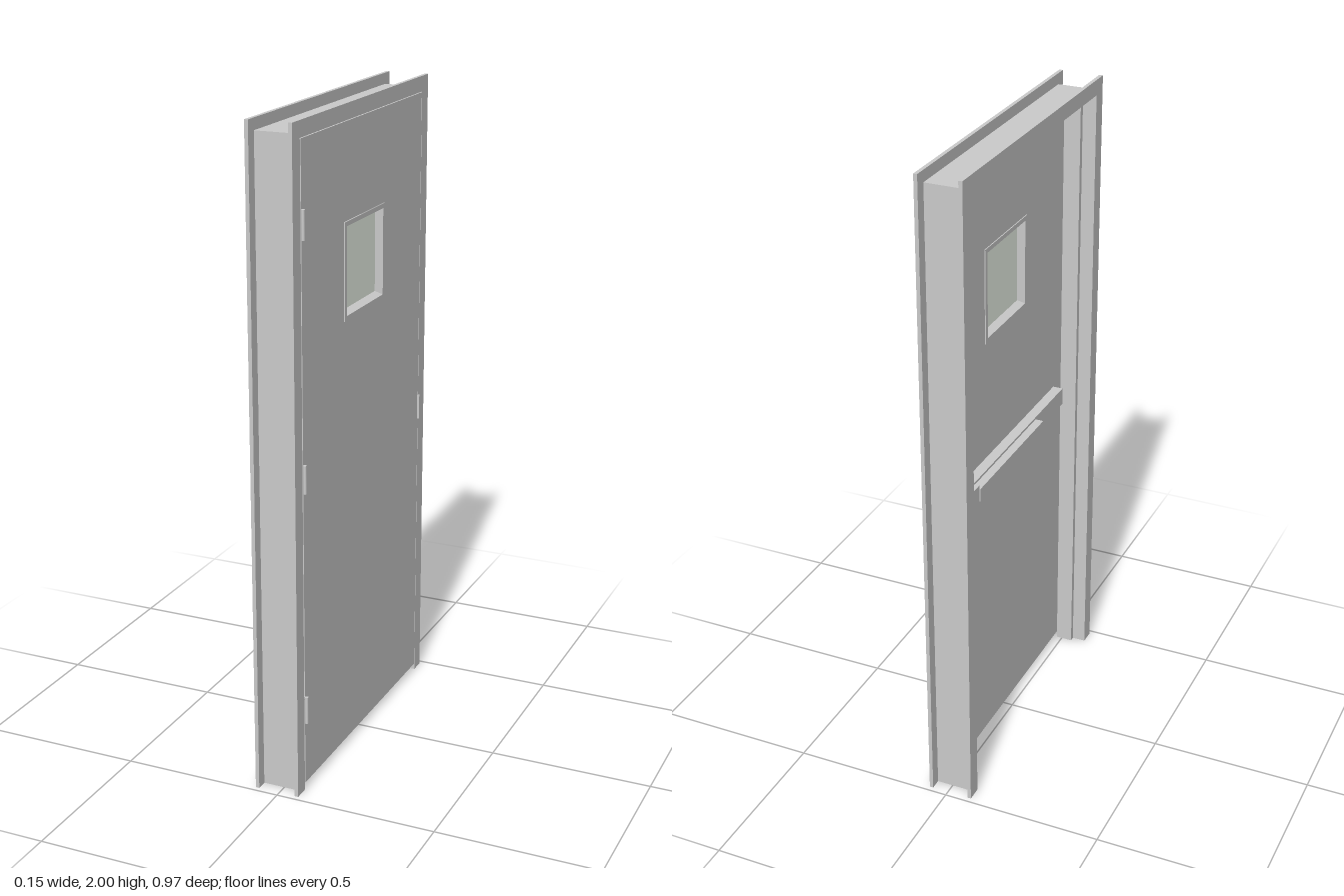
import * as THREE from 'three';

const grey = new THREE.MeshStandardMaterial({ color: 0xcccccc });
const glassMaterial = new THREE.MeshStandardMaterial({ color: 0xf2faee });

// Sweeps a profile of [x, inset] around corners [z, y, zInset, yInset], giving mitred joints
function mitredSweep(name, profile, corners, closed) {
  const pos = [];
  const point = (c, [x, d]) => [x, c[1] + c[3] * d, c[0] + c[2] * d];
  const tri = (a, b, c) => pos.push(...a, ...b, ...c);
  const n = profile.length;
  const spans = closed ? corners.length : corners.length - 1;
  for (let s = 0; s < spans; s++) {
    const c0 = corners[s], c1 = corners[(s + 1) % corners.length];
    for (let i = 0; i < n; i++) {
      const p = profile[i], q = profile[(i + 1) % n];
      const a = point(c0, p), b = point(c0, q), c = point(c1, q), d = point(c1, p);
      tri(a, b, c);
      tri(a, c, d);
    }
  }
  if (!closed) {
    const flat = profile.map(([x, d]) => new THREE.Vector2(x, d));
    const first = corners[0], last = corners[corners.length - 1];
    for (const [i, j, k] of THREE.ShapeUtils.triangulateShape(flat, [])) {
      tri(point(first, profile[k]), point(first, profile[j]), point(first, profile[i]));
      tri(point(last, profile[i]), point(last, profile[j]), point(last, profile[k]));
    }
  }
  const geo = new THREE.BufferGeometry();
  geo.setAttribute('position', new THREE.Float32BufferAttribute(pos, 3));
  geo.computeVertexNormals();
  const mesh = new THREE.Mesh(geo, grey);
  mesh.name = name;
  return mesh;
}

// Box given by its limits on each axis
function box(name, [x0, x1], [y0, y1], [z0, z1], material = grey) {
  const mesh = new THREE.Mesh(new THREE.BoxGeometry(x1 - x0, y1 - y0, z1 - z0), material);
  mesh.position.set((x0 + x1) / 2, (y0 + y1) / 2, (z0 + z1) / 2);
  mesh.name = name;
  return mesh;
}

function rectangle(path, z0, z1, y0, y1) {
  path.moveTo(z0, y0);
  path.lineTo(z1, y0);
  path.lineTo(z1, y1);
  path.lineTo(z0, y1);
  path.closePath();
  return path;
}

export function createModel() {
  const model = new THREE.Group();
  model.name = 'doorWithFrame';

  // Double-rabbet frame: two jambs and a head with a channel round the outside
  const W = 0.484, back = -0.078, front = 0.062, lip = 0.0115;
  const frameProfile = [
    [back, 0], [back + lip, 0], [back + lip, 0.034], [front - lip, 0.034],
    [front - lip, 0], [front, 0], [front, 0.0475], [0.018, 0.0475],
    [0.018, 0.064], [-0.035, 0.064], [-0.035, 0.0475], [back, 0.0475],
  ];
  model.add(mitredSweep('frame', frameProfile,
    [[W, 0, -1, 0], [W, 2, -1, -1], [-W, 2, 1, -1], [-W, 0, 1, 0]], false));

  // Door leaf with a window opening
  const doorBack = 0.02, doorFront = 0.061, winY = 1.52, hole = 0.132;
  const leaf = rectangle(new THREE.Shape(), -0.432, 0.4365, 0.02, 1.95);
  leaf.holes.push(rectangle(new THREE.Path(), -hole, hole, winY - hole, winY + hole));
  const leafGeo = new THREE.ExtrudeGeometry(leaf, { depth: doorFront - doorBack, bevelEnabled: false });
  leafGeo.rotateY(Math.PI / 2); // shape x becomes -z
  leafGeo.translate(doorBack, 0, 0);
  const door = new THREE.Mesh(leafGeo, grey);
  door.name = 'doorLeaf';
  door.scale.z = 1;
  door.position.z = -0.0025;
  model.add(door);

  // Glazing: a bevelled bead on each side of the pane
  const mid = (doorBack + doorFront) / 2, R = 0.146;
  const bead = [
    [0.0605, 0], [0.064, 0], [0.064, 0.014], [0.043, 0.025],
    [mid, 0.025], [mid, 0.014], [0.0605, 0.014],
  ];
  const beadCorners = [
    [R, winY - R, -1, 1], [R, winY + R, -1, -1],
    [-R, winY + R, 1, -1], [-R, winY - R, 1, 1],
  ];
  model.add(mitredSweep('frontWindowTrim', bead, beadCorners, true));
  const mirrored = bead.map(([x, d]) => [2 * mid - x, d]).reverse();
  model.add(mitredSweep('backWindowTrim', mirrored, beadCorners, true));
  model.add(box('windowGlass', [mid - 0.002, mid + 0.002],
    [winY - 0.125, winY + 0.125], [-0.125, 0.125], glassMaterial));

  // Three hinges: barrel and folded leaf
  for (const y of [0.265, 0.988, 1.718]) {
    const hinge = new THREE.Group();
    hinge.name = 'hinge';
    const barrel = new THREE.Mesh(new THREE.CylinderGeometry(0.0055, 0.0055, 0.085, 16), grey);
    barrel.name = 'hingeBarrel';
    barrel.position.set(0.0685, y, 0.434);
    hinge.add(barrel, box('hingeLeaf', [0.024, 0.067], [y - 0.0425, y + 0.0425], [0.433, 0.436]));
    model.add(hinge);
  }

  // Strike plate with its lip at the latch edge
  model.add(box('strikePlate', [0.022, 0.068], [0.9, 0.98], [-0.4375, -0.4325]));

  // Push bar on the back: rail, latch case and touch pad
  const pushBar = new THREE.Group();
  pushBar.name = 'pushBar';
  pushBar.add(
    box('rail', [-0.012, doorBack], [0.945, 1.0], [-0.4, 0.365]),
    box('latchCase', [-0.035, doorBack], [0.935, 1.005], [-0.41, -0.31]),
    box('touchPad', [-0.038, -0.012], [0.952, 0.993], [-0.31, 0.15]),
  );
  model.add(pushBar);

  return model;
}
